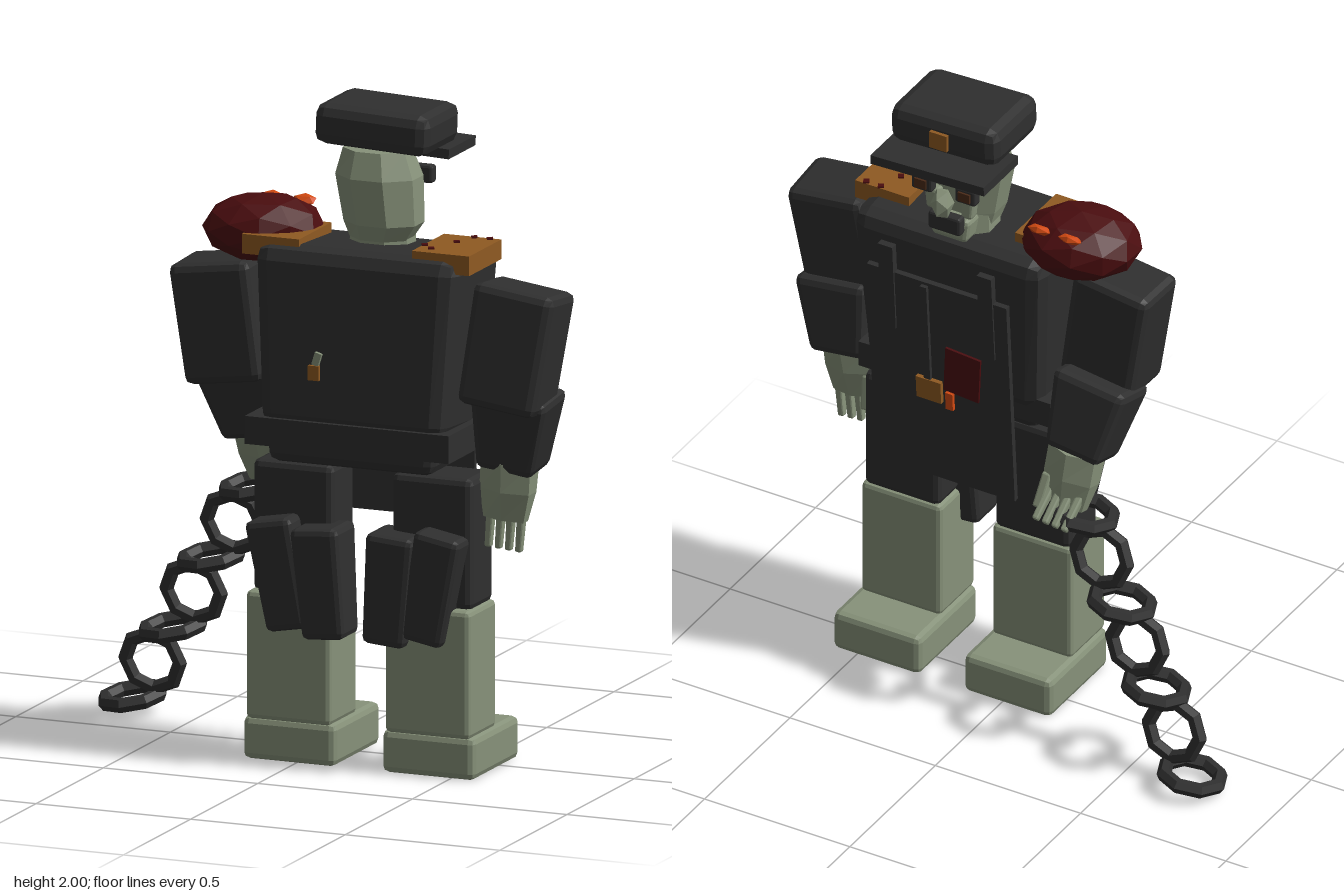
import * as THREE from 'three';
import { RoundedBoxGeometry } from 'three/addons/geometries/RoundedBoxGeometry.js';

const mat = (name, color) => {
  const m = new THREE.MeshStandardMaterial({ color, flatShading: true });
  m.name = name;
  return m;
};

// Chamfered box; the bottom face can be scaled in x and z
function block(w, h, d, bevel = 0.02, bx = 1, bz = 1) {
  const g = new RoundedBoxGeometry(w, h, d, 1, bevel);
  const p = g.attributes.position;
  for (let i = 0; i < p.count; i++) {
    const t = 0.5 - p.getY(i) / h;
    p.setX(i, p.getX(i) * (1 + (bx - 1) * t));
    p.setZ(i, p.getZ(i) * (1 + (bz - 1) * t));
  }
  return g;
}
const box = (w, h, d) => new THREE.BoxGeometry(w, h, d);

// Closed stack of octagonal sections [y, halfWidth, halfDepth, x, z]
function stack(sections, sides = 8) {
  const pos = [], idx = [];
  for (const [y, rx, rz, x, z] of sections) {
    for (let i = 0; i < sides; i++) {
      const a = ((i + 0.5) / sides) * Math.PI * 2, k = 1 / Math.cos(Math.PI / sides);
      pos.push(x + Math.cos(a) * rx * k, y, z + Math.sin(a) * rz * k);
    }
  }
  const last = (sections.length - 1) * sides;
  for (let j = 0; j < sections.length - 1; j++)
    for (let i = 0; i < sides; i++) {
      const a = j * sides + i, b = j * sides + (i + 1) % sides;
      idx.push(a, a + sides, b, b, a + sides, b + sides);
    }
  for (let i = 1; i < sides - 1; i++) {
    idx.push(0, i, i + 1);
    idx.push(last, last + i + 1, last + i);
  }
  const g = new THREE.BufferGeometry();
  g.setAttribute('position', new THREE.Float32BufferAttribute(pos, 3));
  g.setIndex(idx);
  g.computeVertexNormals();
  return g;
}

export function createModel() {
  const dark = mat('charcoal cloth', 0x2f2f2f);
  const skin = mat('grey green', 0x87927a);
  const brass = mat('brass brown', 0x8f5a22);
  const red = mat('dark red', 0x4a0d0f);
  const ember = mat('ember orange', 0xd24a12);
  const eye = mat('eye brown', 0x4a2a18);

  const model = new THREE.Group();
  const add = (name, geo, m, x, y, z, rx = 0, ry = 0, rz = 0, parent = model) => {
    const mesh = new THREE.Mesh(geo, m);
    mesh.name = name;
    mesh.position.set(x, y, z);
    mesh.rotation.set(rx, ry, rz, 'ZYX');
    parent.add(mesh);
    return mesh;
  };
  const C = 0.205; // body centre line

  // Torso, waist and belt
  add('torso', block(0.66, 0.56, 0.37, 0.05, 0.9, 0.95), dark, C + 0.005, 1.3, 0.11, -0.06);
  add('waist', block(0.56, 0.16, 0.32, 0.03, 0.95, 0.95), dark, C, 1.01, 0.14);
  add('belt', box(0.66, 0.085, 0.35), dark, C, 1.025, 0.135);

  // Legs, coat tails and boots
  for (const s of [-1, 1]) {
    add('thigh', block(0.26, 0.4, 0.17, 0.02), dark, C + s * 0.225, 0.71, 0.115);
    add('outerCoatTail', block(0.15, 0.34, 0.16, 0.02, 0.9, 0.8), dark, C + s * 0.245, 0.58, 0.205, 0, 0, -s * 0.18);
    add('innerCoatTail', block(0.155, 0.34, 0.16, 0.02, 0.88, 0.8), dark, C + s * 0.11, 0.565, 0.21, 0, 0, -s * 0.08);
    add('bootShaft', block(0.275, 0.39, 0.205, 0.015), skin, C + s * 0.225, 0.32, 0.13);
    add('bootFoot', block(0.3, 0.13, 0.345, 0.02), skin, C + s * 0.225, 0.065, 0.055);
  }

  // Arms: the right one reaches forward to hold the chain
  for (const s of [-1, 1]) {
    const fwd = s < 0;
    add('upperArm', block(0.26, 0.37, 0.2, 0.025, 0.96), dark, C + s * 0.472, 1.315, fwd ? 0.115 : 0.14, fwd ? 0.03 : -0.1, 0, -s * 0.13);
    add('forearm', block(0.25, 0.25, 0.19, 0.025, 0.72, 0.8), dark, C + s * 0.455, 1.06, fwd ? -0.01 : 0.1, fwd ? 0.3 : 0.12, 0, -s * 0.13);
    const hand = new THREE.Group();
    hand.name = fwd ? 'rightHand' : 'leftHand';
    hand.position.set(C + s * 0.43, 0.87, fwd ? -0.085 : 0.1);
    hand.rotation.set(fwd ? 0.25 : 0, 0, -s * 0.08);
    model.add(hand);
    add('palm', stack([[-0.09, 0.065, 0.03, 0, 0], [0.0, 0.08, 0.05, 0, 0], [0.09, 0.08, 0.06, 0, 0]], 6), skin, 0, 0, 0, 0, 0, 0, hand);
    for (let i = 0; i < 4; i++)
      add('finger', block(0.025, 0.12, 0.03, 0.006, 0.8, 0.8), skin, -0.05 + i * 0.033, fwd ? -0.09 : -0.125, fwd ? -0.045 : -0.005, fwd ? 0.6 : 0, 0, 0, hand);
    add('thumb', block(0.03, 0.11, 0.03, 0.006), skin, -s * 0.065, -0.06, -0.035, 0.2, 0, 0, hand);
  }

  // Neck, head and face, which looks toward -z
  add('neck', stack([[1.54, 0.095, 0.08, C, 0.04], [1.64, 0.09, 0.08, C, 0.04]]), skin, 0, 0, 0);
  add('head', stack([
    [1.59, 0.09, 0.075, C, 0.05], [1.64, 0.115, 0.092, C + 0.01, 0.055],
    [1.78, 0.125, 0.1, C - 0.005, 0.055], [1.86, 0.1, 0.075, C - 0.01, 0.055],
  ]), skin, 0, 0, 0);
  add('jaw', block(0.14, 0.08, 0.12, 0.015, 0.85), skin, C, 1.605, -0.015);
  for (const s of [-1, 1]) {
    add('eyeSocket', block(0.07, 0.055, 0.035, 0.008), dark, C + s * 0.075, 1.76, -0.09);
    add('eye', box(0.04, 0.03, 0.008), eye, C + s * 0.075, 1.76, -0.11);
    add('cheek', block(0.05, 0.07, 0.04, 0.01, 0.7), skin, C + s * 0.06, 1.69, -0.055);
  }
  add('nose', new THREE.IcosahedronGeometry(1, 0), skin, C, 1.715, -0.11).scale.set(0.035, 0.055, 0.04);
  add('mouth', block(0.11, 0.06, 0.035, 0.008), dark, C, 1.635, -0.085);

  // Peaked cap
  add('capCrown', block(0.37, 0.125, 0.27, 0.035), dark, C + 0.01, 1.935, 0.035, 0, 0, -0.04);
  add('capPeak', box(0.39, 0.03, 0.2), dark, C + 0.005, 1.857, -0.09, 0, 0, -0.04);
  add('capBadge', box(0.06, 0.055, 0.012), brass, C + 0.01, 1.935, -0.113);

  // Shoulder boards with red specks
  for (const s of [-1, 1])
    add('shoulderBoard', box(0.185, 0.06, 0.24), brass, C + s * 0.275, 1.575, 0.125);
  for (const [x, z] of [[0.49, 0.015], [0.54, 0.015], [0.465, 0.09], [0.395, 0.165], [0.43, 0.2]])
    add('redSpeck', box(0.018, 0.006, 0.018), red, x, 1.607, z, 0, 0.5);

  // Faceted lump on the right shoulder with glowing spots
  add('shoulderLump', new THREE.IcosahedronGeometry(1, 1), red, -0.16, 1.592, 0.085, 0, 0.3).scale.set(0.185, 0.105, 0.152);
  for (const x of [-0.18, -0.075])
    add('glowingSpot', new THREE.IcosahedronGeometry(1, 0), ember, x, 1.66, -0.015, 0.5).scale.set(0.042, 0.016, 0.026);

  // Hanging front panel with straps, patch and buckle
  const panel = new THREE.Group();
  panel.name = 'frontPanel';
  panel.position.set(C, 0.72, -0.085);
  panel.rotation.x = -0.07;
  model.add(panel);
  add('panelSheet', box(0.48, 0.72, 0.018), dark, 0, 0.36, 0, 0, 0, 0, panel);
  for (const s of [-1, 1])
    add('panelStrap', box(0.05, 0.3, 0.022), dark, s * 0.17, 0.665, -0.004, 0, 0, 0, panel);
  add('buckleCord', box(0.022, 0.36, 0.014), dark, 0.04, 0.53, -0.014, 0, 0, 0, panel);
  add('buckle', box(0.085, 0.075, 0.014), brass, 0.035, 0.33, -0.017, 0, 0, 0, panel);
  add('redPatch', box(0.12, 0.16, 0.008), red, -0.08, 0.42, -0.014, 0, 0, 0.08, panel);
  add('clasp', box(0.025, 0.06, 0.012), ember, -0.035, 0.31, -0.018, 0, 0, 0, panel);

  // Small pin on the back of the torso
  add('pinBase', box(0.035, 0.045, 0.012), brass, 0.1, 1.22, 0.312);
  add('pinTip', box(0.022, 0.04, 0.012), skin, 0.108, 1.262, 0.308, 0, 0, -0.3);

  // Chain of alternating eight-sided links
  const links = [
    [-0.27, 0.755, -0.085], [-0.34, 0.635, -0.105], [-0.425, 0.515, -0.13], [-0.49, 0.4, -0.15],
    [-0.565, 0.28, -0.168], [-0.64, 0.165, -0.19], [-0.715, 0.045, -0.213],
  ];
  const ring = new THREE.TorusGeometry(0.088, 0.023, 6, 8);
  links.forEach(([x, y, z], i) =>
    add('chainLink', ring, dark, x, y, z, i % 2 ? 0.17 : Math.PI / 2 + 0.13, 0, i % 2 ? 0 : 0.14));

  return model;
}
